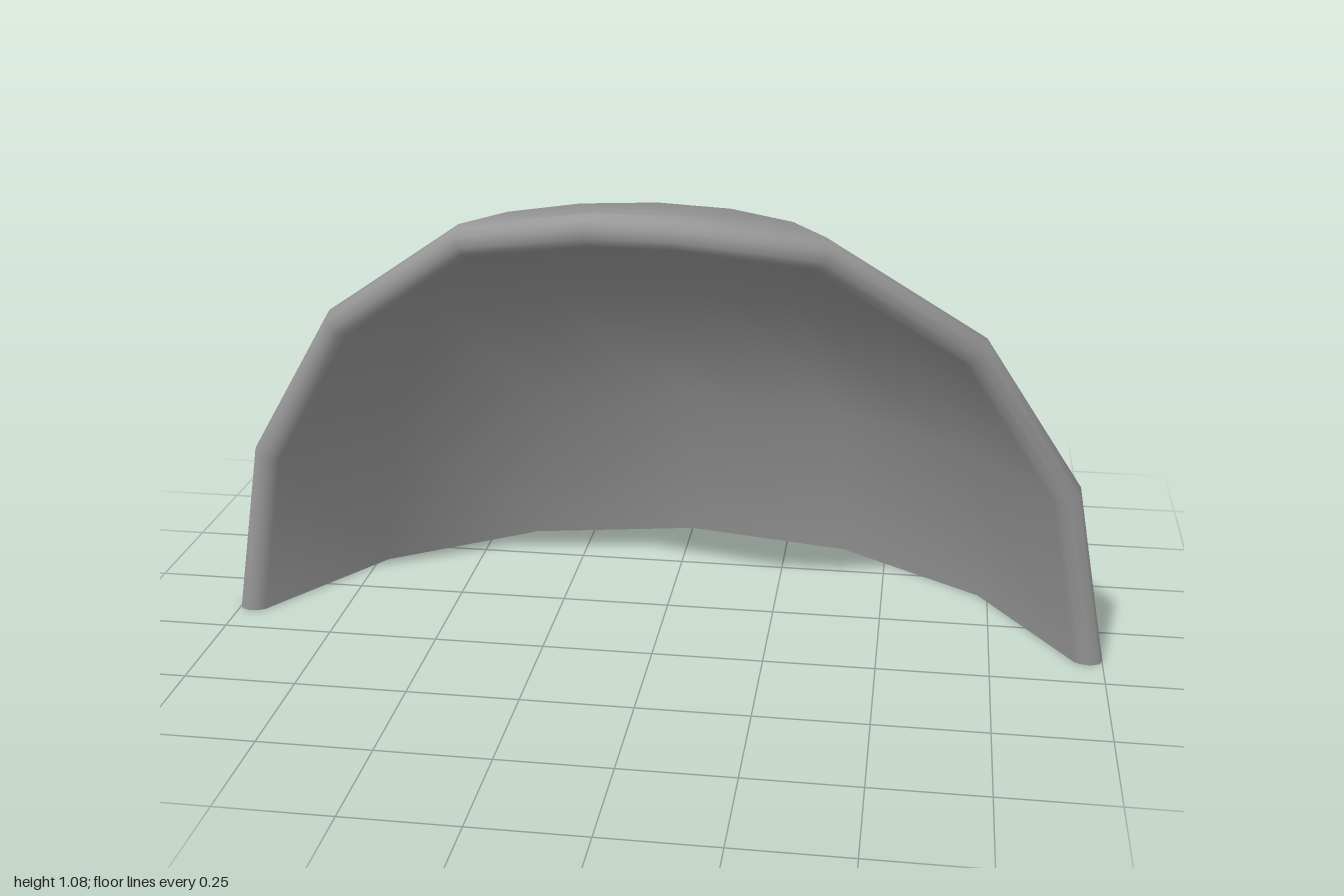
import * as THREE from 'three';
import { toCreasedNormals } from 'three/addons/utils/BufferGeometryUtils.js';

const R_OUT = 1.1, R_IN = 1.03;   // outer and inner shell radius
const CENTRE_Z = 0.57;            // sphere centre
const STEP = Math.PI / 8;         // 16-sided sphere

// Section point: radius, azimuth in steps from the back towards +x, and
// a fixed inset back along the last facet that rounds the rim.
const at = (r, steps, inset = 0) => ({ r, az: steps * STEP, inset });

function shellGeometry() {
  // Half cross-section: outer wall, rounded rim, inner wall
  const section = [
    at(R_OUT, 0), at(R_OUT, 1), at(R_OUT, 2),
    at(R_OUT, 3, 0.028), at(1.09, 3, 0.012), at(1.075, 3),
    at(1.053, 3), at(1.038, 3, 0.01), at(R_IN, 3, 0.025),
    at(R_IN, 2), at(R_IN, 1), at(R_IN, 0),
  ];
  // Rings from the base up to a small flat crown: [width factor, height factor]
  const levels = [0, 1, 2, 3].map((k) => [Math.cos(k * STEP), Math.sin(k * STEP)]);
  levels.push([0.09, 0.982]);
  const rings = levels.map(([w, h]) => section.map(({ r, az, inset }) => new THREE.Vector3(
    r * w * Math.sin(az) - inset * Math.sin(1.5 * STEP),
    r * h,
    CENTRE_Z - r * w * Math.cos(az) - inset * Math.cos(1.5 * STEP))));

  const positions = [];
  const flip = (p) => new THREE.Vector3(-p.x, p.y, p.z);
  const tri = (a, b, c) => {
    const area = b.clone().sub(a).cross(c.clone().sub(a)).length();
    if (area > 1e-9) for (const p of [a, b, c]) positions.push(p.x, p.y, p.z);
  };
  const quad = (a, b, c, d) => { tri(a, b, c); tri(a, c, d); };
  const mirrored = (a, b, c, d) => {
    quad(a, b, c, d);
    quad(flip(d), flip(c), flip(b), flip(a));
  };

  // Walls and rim
  const n = section.length;
  for (let k = 0; k < rings.length - 1; k++)
    for (let i = 0; i < n - 1; i++)
      mirrored(rings[k][i], rings[k + 1][i], rings[k + 1][i + 1], rings[k][i + 1]);

  // Crown: join the two halves above, in front and beneath
  const top = rings[rings.length - 1];
  for (let i = 0; i < n - 1; i++)
    quad(flip(top[i]), flip(top[i + 1]), top[i + 1], top[i]);

  // Flat bottom edge
  const base = rings[0];
  for (let i = 0; i < n / 2 - 1; i++)
    mirrored(base[i], base[i + 1], base[n - 2 - i], base[n - 1 - i]);

  const geometry = new THREE.BufferGeometry();
  geometry.setAttribute('position', new THREE.Float32BufferAttribute(positions, 3));
  return toCreasedNormals(geometry, 0.9);
}

export function createModel() {
  const group = new THREE.Group();
  group.name = 'domeShell';
  const shell = new THREE.Mesh(shellGeometry(), new THREE.MeshStandardMaterial({ color: 0x989898 }));
  shell.name = 'curvedShell';
  group.add(shell);
  return group;
}
